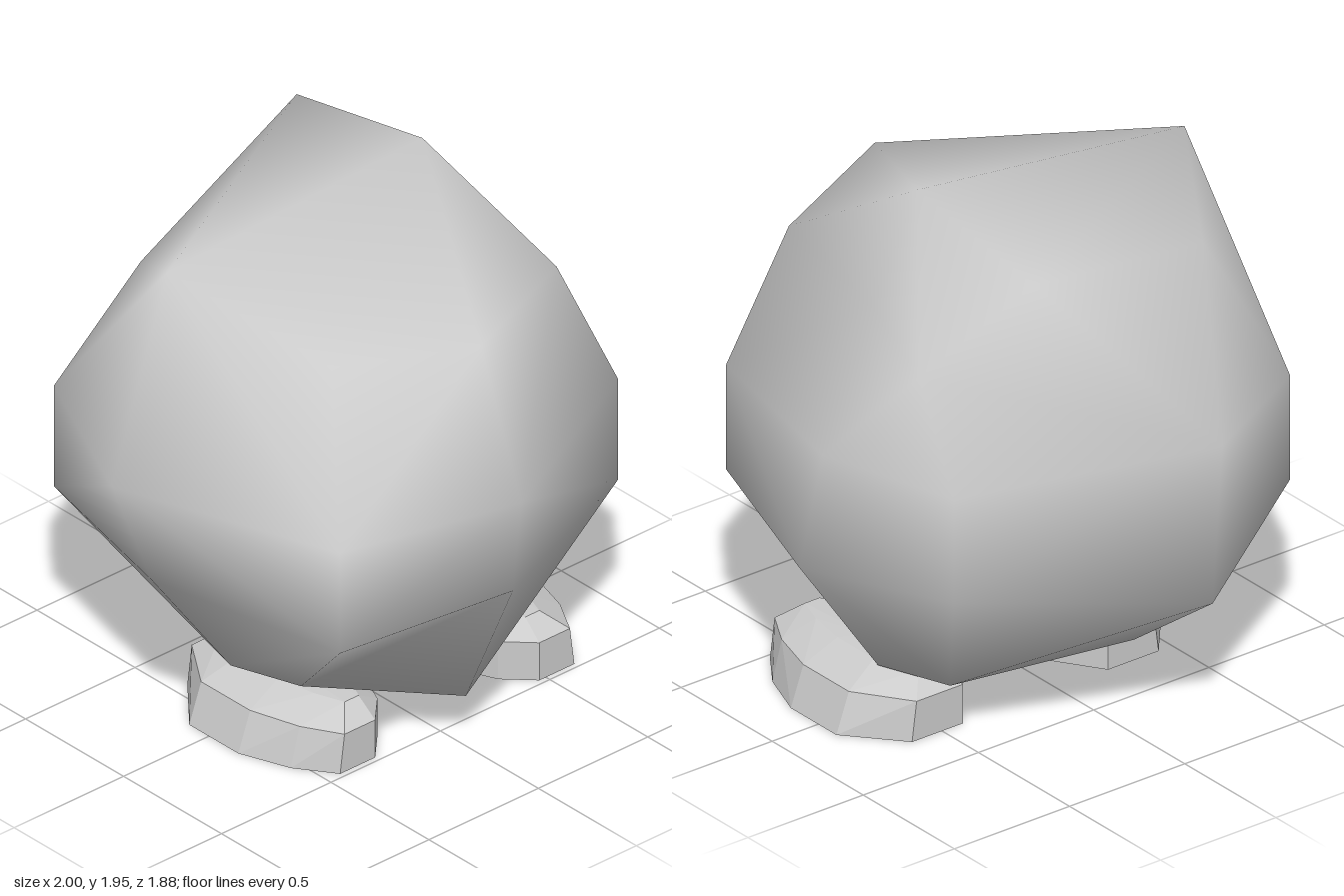
import * as THREE from 'three';

const material = new THREE.MeshStandardMaterial({ color: 0xcccccc });
const flatMaterial = new THREE.MeshStandardMaterial({ color: 0xcccccc, flatShading: true });

// Skin closed rings of points, listed from top to bottom; a one-point ring is a pole.
// Points in a ring run counter-clockwise seen from above. Points shared between
// rings become one vertex. Quads fold outwards unless isDent(ring, side) holds.
function loft(rings, isDent = () => false) {
  const sides = Math.max(...rings.map((r) => r.length));
  const points = [...new Set(rings.flat())];
  const index = [];
  const triangle = (...corners) => {
    if (new Set(corners).size === 3) index.push(...corners.map((p) => points.indexOf(p)));
  };
  const plane = new THREE.Plane();
  const vec = (p) => new THREE.Vector3(...p);
  for (let r = 0; r < rings.length - 1; r++) {
    const top = rings[r];
    const bottom = rings[r + 1];
    for (let i = 0; i < sides; i++) {
      const a = top[i % top.length];
      const b = bottom[i % bottom.length];
      const c = bottom[(i + 1) % bottom.length];
      const d = top[(i + 1) % top.length];
      plane.setFromCoplanarPoints(vec(a), vec(b), vec(c));
      const splitAC = (plane.distanceToPoint(vec(d)) < 0) !== isDent(r, i);
      if (splitAC) {
        triangle(a, b, c);
        triangle(a, c, d);
      } else {
        triangle(a, b, d);
        triangle(d, b, c);
      }
    }
  }
  const geometry = new THREE.BufferGeometry();
  geometry.setAttribute('position', new THREE.Float32BufferAttribute(points.flat(), 3));
  geometry.setIndex(index);
  geometry.computeVertexNormals();
  return geometry;
}

// Uneven eight-sided boulder; each ring starts at -x and passes +z, +x, -z
function createBody() {
  const belt = (y) => ({
    frontLeft: [0.75, y, 0.57], frontRight: [-0.71, y, 0.78],
    backLeft: [0.75, y, -0.68], backRight: [-0.71, y, -0.68],
  });
  const upper = belt(1.13);
  const lower = belt(0.73);
  const shoulder = [
    [-0.71, 1.85, -0.1], [-0.48, 1.64, 0.48], [-0.03, 1.66, 0.74], [0.54, 1.63, 0.49],
    [0.68, 1.63, -0.15], [0.75, 1.52, -0.49], [0.4, 1.84, -0.68], [-0.49, 1.63, -0.48],
  ];
  // The crown skips the two low shoulder points beside the raised corner
  const crown = shoulder.map((p, i) => (i === 1 || i === 7 ? shoulder[0] : p));
  return loft([
    [[0.41, 1.95, -0.05]],
    crown,
    shoulder,
    [[-1, 1.13, -0.06], upper.frontRight, [-0.02, 1.12, 0.935], upper.frontLeft,
      [0.9, 1.13, -0.15], upper.backLeft, [-0.21, 1.13, -0.94], upper.backRight],
    [[-0.87, 0.73, 0], lower.frontRight, [0, 0.73, 0.87], lower.frontLeft,
      [1, 0.73, -0.15], lower.backLeft, [-0.2, 0.51, -0.9], lower.backRight],
    [[-0.53, 0.26, 0.02], [-0.43, 0.25, 0.27], [0, 0.2, 0.63], [0.49, 0.2, 0.27],
      [0.62, 0.21, -0.1], [0.52, 0.21, -0.37], [-0.19, 0.2, -0.48], [-0.42, 0.25, -0.29]],
    [[0.13, 0.12, 0]],
  ], (r, i) => (r === 4 && i === 1) || (r === 2 && i === 5));
}

// Foot outline about its own centre, outer side towards +x, counter-clockwise from above
const SOLE = [
  [0.27, -0.1], [0.1, -0.3], [-0.12, -0.3], [-0.27, -0.07], [-0.27, 0.12],
  [-0.16, 0.38], [-0.06, 0.48], [0.1, 0.48], [0.2, 0.34], [0.27, 0.15],
];

// Flat sole, outward flaring wall and bevelled top
function createFoot(side) {
  const outline = side > 0 ? SOLE : [...SOLE].reverse();
  const centre = 0.095 + side * 0.435;
  const ring = (y, shape) => outline.map(([x, z]) => {
    const [sx, sz] = shape(x, z);
    return [centre + side * sx, y, sz];
  });
  return loft([
    [[centre, 0.225, 0.09]],
    ring(0.215, (x, z) => [x * 0.4 - 0.03, 0.09 + (z - 0.09) * 0.8]),
    ring(0.15, (x, z) => [x > 0 ? x * 0.8 : x, z]),
    ring(0, (x, z) => [x, z]),
    [[centre, 0, 0.09]],
  ]);
}

export function createModel() {
  const model = new THREE.Group();
  const add = (name, geometry, mat) => {
    const mesh = new THREE.Mesh(geometry, mat);
    mesh.name = name;
    model.add(mesh);
  };
  add('body', createBody(), material);
  add('leftFoot', createFoot(1), flatMaterial);
  add('rightFoot', createFoot(-1), flatMaterial);
  return model;
}
